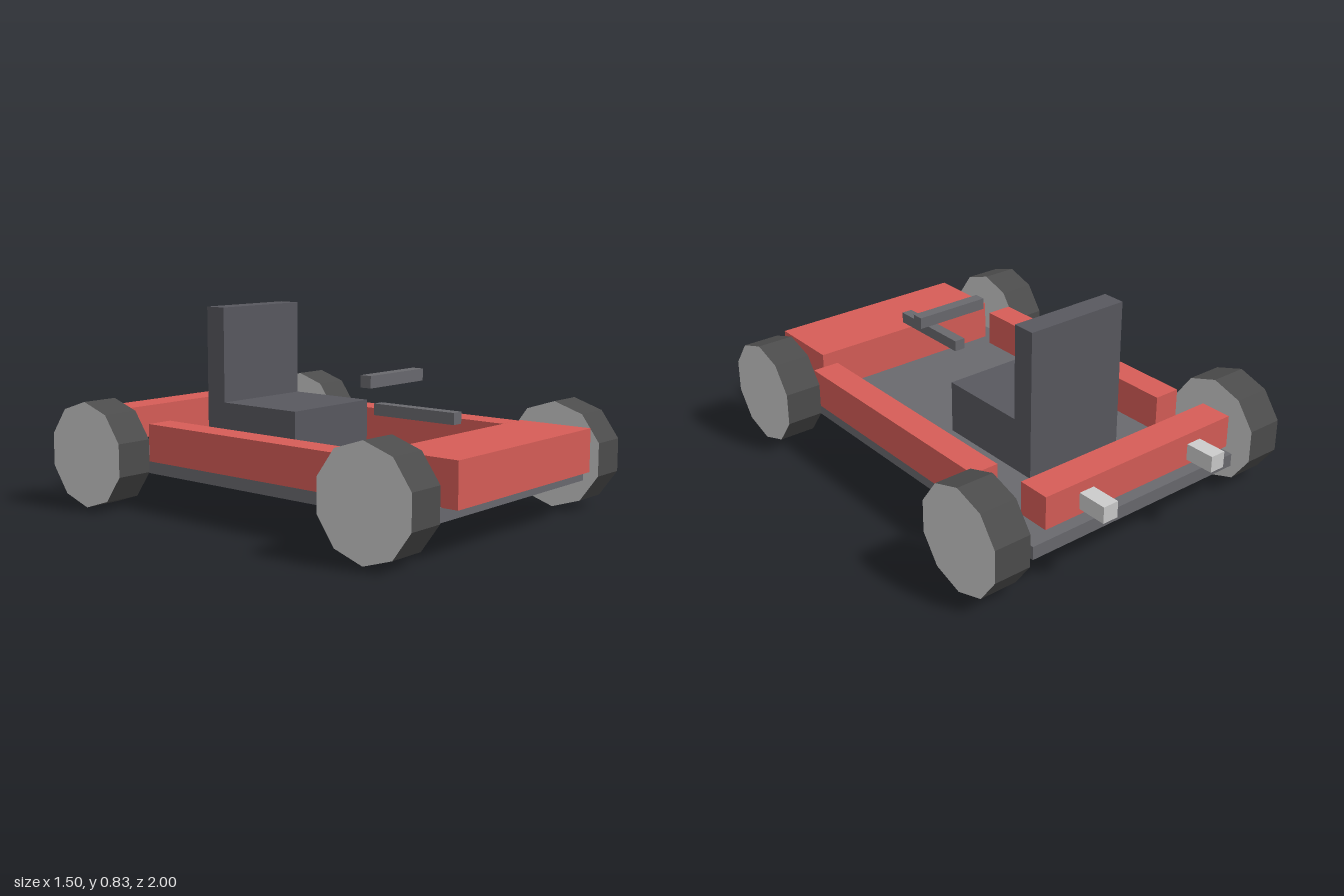
import * as THREE from 'three';

const paint = (color) => new THREE.MeshStandardMaterial({ color, flatShading: true });

export function createModel() {
  const kart = new THREE.Group();
  kart.name = 'goKart';

  const red = paint(0xd65d57);
  const steel = paint(0x69696e);
  const seatGrey = paint(0x58585f);
  const rubber = paint(0x4c4c4c);
  const grey = paint(0xcccccc);

  // Box given by its lower and upper limits on each axis
  const box = (name, material, [x0, x1], [y0, y1], [z0, z1]) => {
    const mesh = new THREE.Mesh(new THREE.BoxGeometry(x1 - x0, y1 - y0, z1 - z0), material);
    mesh.position.set((x0 + x1) / 2, (y0 + y1) / 2, (z0 + z1) / 2);
    mesh.name = name;
    kart.add(mesh);
  };

  // Chassis and bodywork
  box('floorPan', steel, [-0.535, 0.535], [0.135, 0.192], [-0.86, 0.93]);
  box('nose', red, [-0.46, 0.46], [0.19, 0.37], [0.67, 1]);
  box('rearBumper', red, [-0.485, 0.485], [0.25, 0.39], [-0.87, -0.73]);

  // Seat
  box('seatBase', seatGrey, [-0.235, 0.235], [0.19, 0.42], [-0.39, 0.02]);
  box('seatBack', seatGrey, [-0.235, 0.235], [0.19, 0.83], [-0.49, -0.39]);

  // Steering
  box('steeringColumn', steel, [-0.025, 0.025], [0.407, 0.455], [0.27, 0.67]);
  box('steeringBar', steel, [-0.172, 0.172], [0.54, 0.59], [0.318, 0.37]);

  // Ten-sided wheels with pale discs, a corner pointing straight up
  const radius = 0.225;
  const wheelGeometry = new THREE.CylinderGeometry(radius, radius, 0.163, 10, 1, false, Math.PI / 2);
  wheelGeometry.rotateZ(Math.PI / 2);

  for (const side of [1, -1]) {
    const label = side > 0 ? 'left' : 'right';
    const span = (a, b) => (side > 0 ? [a, b] : [-b, -a]);
    box(`${label}SidePod`, red, span(0.43, 0.55), [0.19, 0.35], [-0.525, 0.6]);
    box(`${label}Exhaust`, grey, span(0.25, 0.32), [0.275, 0.345], [-1, -0.8]);

    for (const [end, x, z] of [['Front', 0.633, 0.775], ['Rear', 0.671, -0.695]]) {
      const wheel = new THREE.Mesh(wheelGeometry, [rubber, grey, grey]);
      wheel.position.set(side * x, radius, z);
      wheel.name = `${label}${end}Wheel`;
      kart.add(wheel);
    }
  }

  return kart;
}
